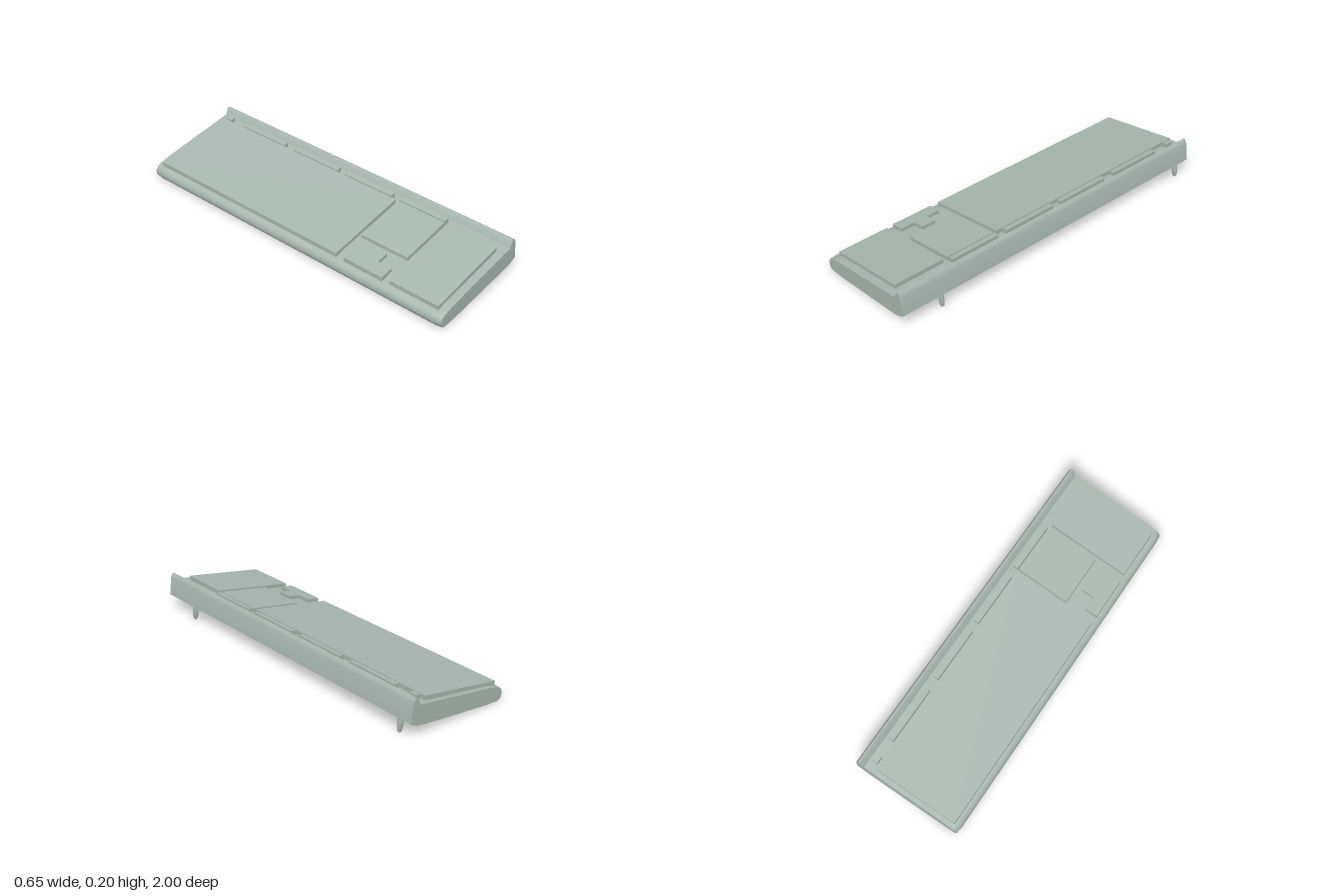
import * as THREE from 'three';
import { toCreasedNormals } from 'three/addons/utils/BufferGeometryUtils.js';

const HALF = 0.996; // half length of the case

function shapeOf(points) {
  return new THREE.Shape(points.map(([x, y]) => new THREE.Vector2(x, y)));
}

// Applies a rule to every vertex
function moveVertices(geometry, rule) {
  const p = geometry.attributes.position;
  const v = new THREE.Vector3();
  for (let i = 0; i < p.count; i++) {
    v.fromBufferAttribute(p, i);
    rule(v);
    p.setXYZ(i, v.x, v.y, v.z);
  }
  geometry.deleteAttribute('uv');
  geometry.computeVertexNormals();
  return geometry;
}

export function createModel() {
  const model = new THREE.Group();
  model.name = 'keyboard';
  const plastic = new THREE.MeshStandardMaterial({ color: 0xa9b7b1 });
  plastic.name = 'grey green plastic';

  function add(name, geometry) {
    const mesh = new THREE.Mesh(geometry, plastic);
    mesh.name = name;
    model.add(mesh);
    return mesh;
  }

  // Case: wedge section with a rounded front lip and a raised rear ridge
  const section = shapeOf([
    [-0.288, 0.001], [-0.2, 0.005], [0.215, 0.052], [0.272, 0.062],
    [0.31, 0.082], [0.296, 0.185], [0.291, 0.197], [0.284, 0.206],
    [0.274, 0.206], [0.268, 0.199], [0.253, 0.165],
    [-0.11, 0.109], [-0.222, 0.09], [-0.288, 0.074], [-0.3, 0.067],
    [-0.309, 0.053], [-0.3135, 0.036], [-0.309, 0.018], [-0.3, 0.007],
  ]);
  const body = new THREE.ExtrudeGeometry(section, { depth: 2 * HALF, steps: 50, bevelEnabled: false });
  body.translate(0, 0, -HALF);
  // The lip draws in slightly at both ends
  moveVertices(body, (v) => {
    if (v.x < -0.26 && Math.abs(v.z) > HALF - 0.01) v.x += 0.006;
  });
  add('case', toCreasedNormals(body, 0.6));

  // Key blocks: outlines in (x, z), sloped along with the deck
  function keyBlock(name, points) {
    const g = new THREE.ExtrudeGeometry(shapeOf(points.map(([x, z]) => [x, -z])),
      { depth: 0.034, bevelEnabled: false });
    g.rotateX(-Math.PI / 2);
    add(name, moveVertices(g, (v) => { v.y += 0.114 + 0.169 * v.x; }));
  }
  const rect = (x0, x1, z0, z1) => [[x0, z0], [x0, z1], [x1, z1], [x1, z0]];

  keyBlock('mainKeys', rect(-0.28, 0.197, -0.97, 0.32));
  keyBlock('navigationKeys', rect(-0.105, 0.197, 0.34, 0.635));
  keyBlock('numberPad', rect(-0.275, 0.197, 0.66, 0.952));
  keyBlock('arrowKeys', [
    [-0.281, 0.37], [-0.281, 0.615], [-0.206, 0.615], [-0.206, 0.532],
    [-0.136, 0.532], [-0.136, 0.45], [-0.206, 0.45], [-0.206, 0.37],
  ]);
  [[-0.945, -0.903], [-0.805, -0.482], [-0.41, -0.09], [-0.035, 0.285], [0.34, 0.632]]
    .forEach(([z0, z1], i) => keyBlock('functionKeys' + (i + 1), rect(0.205, 0.236, z0, z1)));

  // Folding feet under the rear edge
  const footShape = shapeOf([
    [0.283, 0.075], [0.284, 0.05], [0.287, 0.03], [0.293, 0.013], [0.301, 0.007],
    [0.307, 0.012], [0.309, 0.035], [0.305, 0.075],
  ]);
  for (const z of [0.757, -0.913]) {
    const g = new THREE.ExtrudeGeometry(footShape, {
      depth: 0.008, bevelSize: 0.004, bevelThickness: 0.004, bevelSegments: 2,
    });
    g.translate(0, 0, z - 0.004);
    add(z > 0 ? 'footLeft' : 'footRight', toCreasedNormals(g, 0.7));
  }

  // The whole board sits very slightly turned
  model.rotation.y = 0.0115;
  return model;
}
